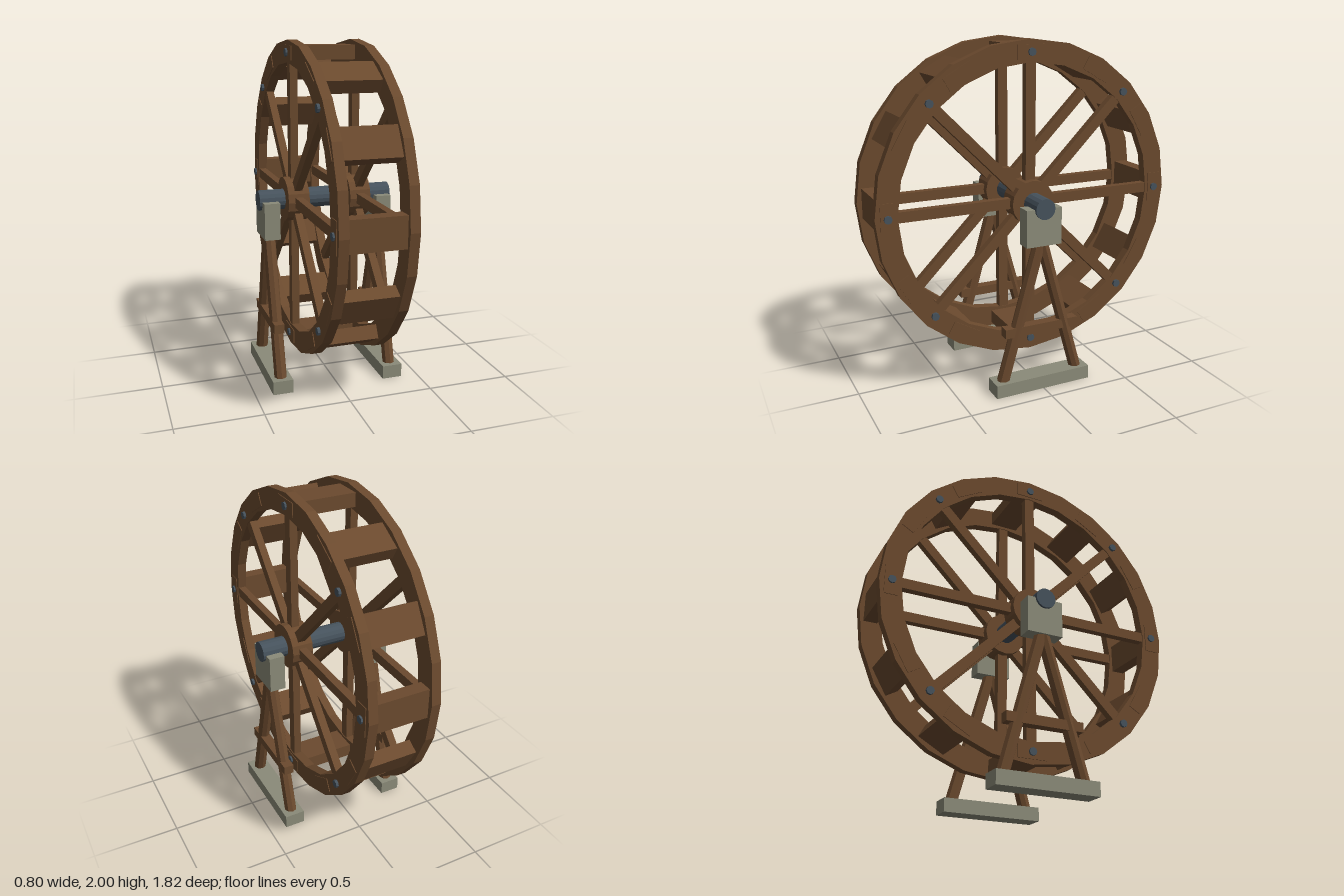
import * as THREE from 'three';

const mat = (color) => new THREE.MeshStandardMaterial({ color, flatShading: true });
const wood = mat(0x6b4a2e), iron = mat(0x46525c), stone = mat(0x8b8b79);

function add(parent, name, geometry, material, x = 0, y = 0, z = 0) {
  const mesh = new THREE.Mesh(geometry, material);
  mesh.name = name;
  mesh.position.set(x, y, z);
  parent.add(mesh);
  return mesh;
}

// Regular polygon outline with a corner at angle 0
function polygon(PathType, radius, sides) {
  const points = [];
  for (let i = 0; i < sides; i++) {
    const a = (i / sides) * Math.PI * 2;
    points.push(new THREE.Vector2(Math.cos(a) * radius, Math.sin(a) * radius));
  }
  return new PathType(points);
}

// Cylinder lying along z
const disc = (r, length, sides) => new THREE.CylinderGeometry(r, r, length, sides).rotateX(Math.PI / 2);

// Wheel, built around the z axis
function makeWheel() {
  const wheel = new THREE.Group();
  wheel.name = 'wheel';
  const ringShape = polygon(THREE.Shape, 0.91, 24);
  ringShape.holes.push(polygon(THREE.Path, 0.785, 24));
  const ringGeo = new THREE.ExtrudeGeometry(ringShape, { depth: 0.055, bevelEnabled: false }).translate(0, 0, -0.0275);
  const spokeGeo = new THREE.BoxGeometry(0.72, 0.06, 0.045).translate(0.45, 0, 0);
  const boltGeo = disc(0.023, 0.03, 8);

  for (const side of [-1, 1]) {
    const z = side * 0.186;
    add(wheel, 'rim', ringGeo, wood, 0, 0, z);
    add(wheel, 'hub', disc(0.13, 0.125, 16), wood, 0, 0, z);
    for (let i = 0; i < 8; i++) {
      const a = (i * Math.PI) / 4;
      add(wheel, 'spoke', spokeGeo, wood, 0, 0, z).rotation.z = a;
      add(wheel, 'bolt', boltGeo, iron, 0.84 * Math.cos(a), 0.84 * Math.sin(a), side * 0.214);
    }
  }

  // Paddles across both rims
  const paddleGeo = new THREE.BoxGeometry(0.08, 0.175, 0.436);
  for (let i = 0; i < 12; i++) {
    const a = (i * Math.PI) / 6;
    add(wheel, 'paddle', paddleGeo, wood, 0.84 * Math.cos(a), 0.84 * Math.sin(a)).rotation.z = a;
  }

  add(wheel, 'axle', disc(0.06, 0.8, 16), iron);
  wheel.rotation.y = Math.PI / 2;
  wheel.position.y = 1.09;
  return wheel;
}

// A-frame support under one end of the axle
function makeSupport(x) {
  const support = new THREE.Group();
  support.name = 'support';
  support.position.x = x;
  add(support, 'foot', new THREE.BoxGeometry(0.12, 0.08, 0.6), stone, 0, 0.04);
  add(support, 'bearingBlock', new THREE.BoxGeometry(0.092, 0.215, 0.216), stone, 0, 0.9825);
  add(support, 'crossbar', new THREE.BoxGeometry(0.06, 0.055, 0.46), wood, 0, 0.373);
  for (const side of [-1, 1]) {
    const bottom = new THREE.Vector3(0, 0.06, side * 0.24);
    const top = new THREE.Vector3(0, 0.91, 0);
    const span = top.clone().sub(bottom);
    const leg = add(support, 'leg', new THREE.CylinderGeometry(0.037, 0.037, span.length(), 8), wood);
    leg.position.copy(bottom).add(top).multiplyScalar(0.5);
    leg.quaternion.setFromUnitVectors(new THREE.Vector3(0, 1, 0), span.normalize());
  }
  return support;
}

export function createModel() {
  const model = new THREE.Group();
  model.name = 'waterWheel';
  model.add(makeWheel(), makeSupport(-0.34), makeSupport(0.34));
  return model;
}
